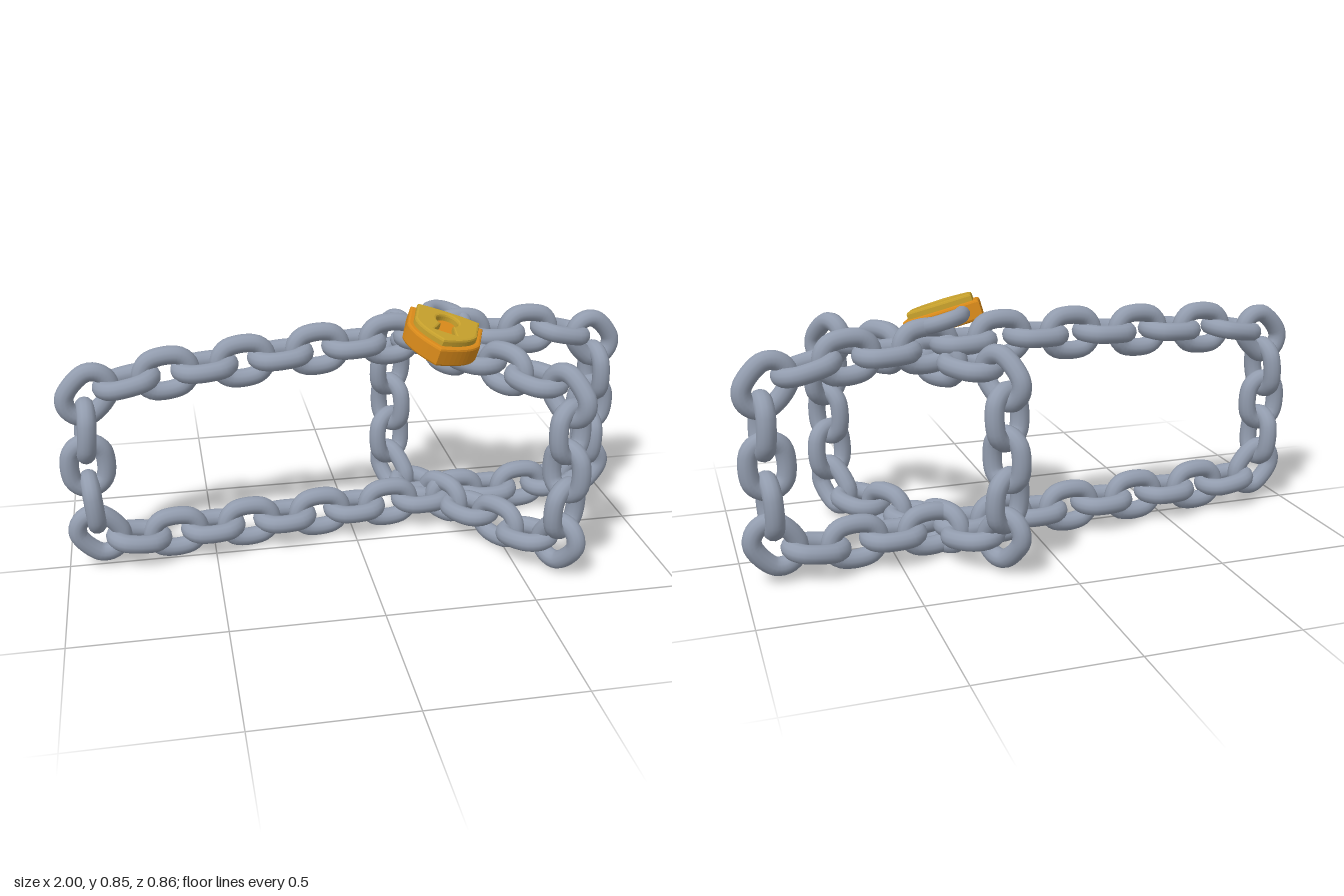
import * as THREE from 'three';

const steel = new THREE.MeshStandardMaterial({ color: 0x929cae });
steel.name = 'steel';
const orange = new THREE.MeshStandardMaterial({ color: 0xd98a1a });
orange.name = 'orange brass';
const gold = new THREE.MeshStandardMaterial({ color: 0xc6a02c });
gold.name = 'gold plate';

// One oblong link, long axis x, flat in the xy plane
function linkGeometry() {
  const pts = [];
  for (const side of [1, -1]) {
    for (let i = 0; i <= 6; i++) {
      const a = -Math.PI / 2 + (i / 6) * Math.PI;
      pts.push(new THREE.Vector3(side * (0.023 + 0.059 * Math.cos(a)), side * 0.059 * Math.sin(a), 0));
    }
  }
  return new THREE.TubeGeometry(new THREE.CatmullRomCurve3(pts, true), 36, 0.031, 12, true);
}

// Closed loop of links in the xy plane, every second link turned a quarter
function chainLoop(name, points, geometry) {
  const group = new THREE.Group();
  group.name = name;
  const n = points.length;
  points.forEach(([x, y], i) => {
    const [ax, ay] = points[(i + n - 1) % n];
    const [bx, by] = points[(i + 1) % n];
    const link = new THREE.Mesh(geometry, steel);
    link.name = 'chainLink';
    link.position.set(x, y, 0);
    link.rotation.order = 'ZYX';
    link.rotation.z = Math.atan2(by - ay, bx - ax);
    link.rotation.x = i % 2 ? Math.PI / 2 : 0;
    group.add(link);
  });
  return group;
}

// Link centres of the long loop: bottom, right end, top, left end
function longLoopPoints() {
  const pts = [];
  const step = 0.1282;
  for (let i = 0; i < 15; i++) {
    pts.push([-0.893 + i * step, i === 0 || i === 14 ? 0.13 : 0.095]);
  }
  pts.push([0.912, 0.26], [0.912, 0.39], [0.92, 0.52]);
  const topY = [0.645, 0.685, 0.705, 0.705, 0.715, 0.718, 0.72, 0.715, 0.71, 0.703, 0.695, 0.688, 0.68, 0.665, 0.635];
  topY.forEach((y, i) => pts.push([0.902 - i * step, y]));
  pts.push([-0.91, 0.51], [-0.912, 0.385], [-0.908, 0.25]);
  return pts;
}

// Link centres of the short cross loop
function shortLoopPoints() {
  const pts = [];
  for (let i = -3; i <= 3; i++) pts.push([i * 0.132, Math.abs(i) === 3 ? 0.12 : 0.093]);
  pts.push([0.413, 0.25], [0.41, 0.385], [0.413, 0.525]);
  for (let i = 3; i >= -3; i--) pts.push([i * 0.132, Math.abs(i) === 3 ? 0.645 : 0.665]);
  pts.push([-0.413, 0.525], [-0.41, 0.385], [-0.413, 0.25]);
  return pts;
}

function shield(s) {
  const shape = new THREE.Shape();
  shape.moveTo(-0.12 * s, 0.088 * s);
  shape.quadraticCurveTo(0, 0.105 * s, 0.12 * s, 0.088 * s);
  shape.lineTo(0.118 * s, -0.03 * s);
  shape.quadraticCurveTo(0.1 * s, -0.09 * s, 0, -0.138 * s);
  shape.quadraticCurveTo(-0.1 * s, -0.09 * s, -0.118 * s, -0.03 * s);
  shape.closePath();
  return shape;
}

function padlock() {
  const lock = new THREE.Group();
  lock.name = 'padlock';

  // Thick shield body, its face at z = 0
  const bodyGeo = new THREE.ExtrudeGeometry(shield(1), {
    depth: 0.05, bevelThickness: 0.008, bevelSize: 0.008, bevelSegments: 2, curveSegments: 10,
  });
  bodyGeo.translate(0, 0, -0.058);
  const body = new THREE.Mesh(bodyGeo, orange);
  body.name = 'lockBody';

  // Raised face plate with a keyhole cut through it
  const face = shield(0.84);
  const hole = new THREE.Path();
  hole.moveTo(-0.045, -0.07);
  hole.lineTo(0.045, -0.07);
  hole.lineTo(0.027, -0.012);
  hole.absarc(0, 0.022, 0.046, -0.9, Math.PI + 0.9, false);
  hole.closePath();
  face.holes.push(hole);
  const plateGeo = new THREE.ExtrudeGeometry(face, {
    depth: 0.016, bevelThickness: 0.008, bevelSize: 0.008, bevelSegments: 2, curveSegments: 12,
  });
  const plate = new THREE.Mesh(plateGeo, gold);
  plate.name = 'facePlate';

  // Shackle hooked round the chain
  const pts = [[-0.066, 0.06], [-0.066, 0.11]];
  for (let i = 0; i <= 8; i++) {
    const a = Math.PI * (1 - i / 8);
    pts.push([0.066 * Math.cos(a), 0.155 + 0.066 * Math.sin(a)]);
  }
  pts.push([0.066, 0.11], [0.066, 0.06]);
  const path = new THREE.CatmullRomCurve3(pts.map(([x, y]) => new THREE.Vector3(x, y, -0.03)));
  const shackle = new THREE.Mesh(new THREE.TubeGeometry(path, 40, 0.026, 12), steel);
  shackle.name = 'shackle';

  lock.add(body, plate, shackle);

  // Lying on the chain, face up, shackle pointing back
  const n = new THREE.Vector3(0.24, 0.95, 0.2).normalize();
  const r = new THREE.Vector3().crossVectors(new THREE.Vector3(0.32, 0.12, -0.95), n).normalize();
  const u = new THREE.Vector3().crossVectors(n, r);
  lock.quaternion.setFromRotationMatrix(new THREE.Matrix4().makeBasis(r, u, n));
  lock.position.set(0.285, 0.795, 0.052);
  return lock;
}

export function createModel() {
  const model = new THREE.Group();
  model.name = 'lockedChains';
  const geometry = linkGeometry();

  const longLoop = chainLoop('longChainLoop', longLoopPoints(), geometry);
  longLoop.rotation.y = Math.atan(0.11);
  longLoop.position.z = -0.085;

  const shortLoop = chainLoop('shortChainLoop', shortLoopPoints(), geometry);
  shortLoop.rotation.y = -1.0;
  shortLoop.position.x = 0.41;

  model.add(longLoop, shortLoop, padlock());
  return model;
}
